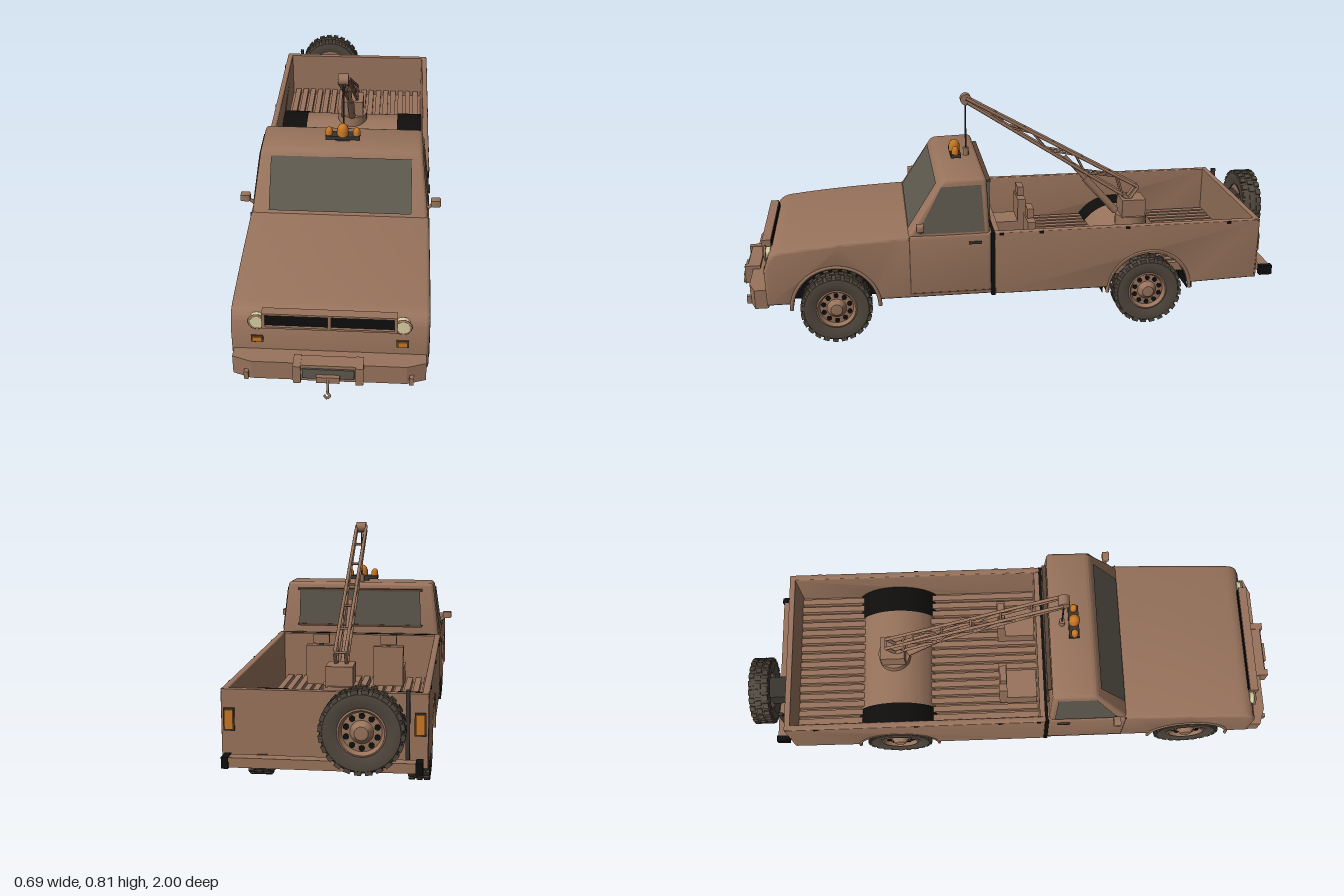
import * as THREE from 'three';
import { toCreasedNormals } from 'three/addons/utils/BufferGeometryUtils.js';

const mat = (name, color, side = THREE.FrontSide) => {
  const m = new THREE.MeshStandardMaterial({ color, side });
  m.name = name;
  return m;
};

export function createModel() {
  const truck = new THREE.Group();
  truck.name = 'towTruck';
  const paint = mat('brown paint', 0x98735c);
  const glass = mat('smoked glass', 0x5f594e, THREE.DoubleSide);
  const rubber = mat('tyre rubber', 0x51483e);
  const black = mat('black', 0x0f0e0d, THREE.DoubleSide);
  const amber = mat('amber lens', 0xc87722);
  const lens = mat('headlight lens', 0xd6d0a2);
  const dark = mat('dark metal', 0x3b3530);
  const seam = mat('panel seam', 0x5a4335);

  const add = (name, geo, m, parent = truck) => {
    const mesh = new THREE.Mesh(geo, m);
    mesh.name = name;
    parent.add(mesh);
    return mesh;
  };
  // Box given by its ranges on each axis
  const box = (name, m, x0, x1, y0, y1, z0, z1, parent) =>
    add(name, new THREE.BoxGeometry(x1 - x0, y1 - y0, z1 - z0)
      .translate((x0 + x1) / 2, (y0 + y1) / 2, (z0 + z1) / 2), m, parent);
  const rod = (name, m, a, b, r, parent) => {
    const p = new THREE.Vector3(...a), q = new THREE.Vector3(...b);
    return add(name, new THREE.TubeGeometry(new THREE.LineCurve3(p, q), 1, r, 8), m, parent);
  };
  // Side profile in (z, y), extruded across x and centred on cx
  const across = (shape, width, bevel, cx = 0) => {
    const g = new THREE.ExtrudeGeometry(shape, {
      depth: width - 2 * bevel, bevelEnabled: bevel > 0, bevelSize: bevel, bevelThickness: bevel,
      bevelOffset: -bevel, bevelSegments: 3, curveSegments: 20,
    });
    g.rotateY(-Math.PI / 2).translate(width / 2 - bevel + cx, 0, 0);
    return toCreasedNormals(g, 0.6);
  };
  const plate = (name, m, pts) => {
    const g = new THREE.BufferGeometry().setFromPoints(pts.map(p => new THREE.Vector3(...p)));
    g.setIndex([0, 1, 2, 0, 2, 3]);
    g.computeVertexNormals();
    return add(name, g, m);
  };
  const sides = [1, -1];
  const FRONT = 0.65, REAR = -0.465, HUB = 0.125, ARCH = 0.15;
  const cut = Math.asin(0.03 / ARCH);

  // Front body with the bonnet and wheel arch
  const nose = new THREE.Shape();
  nose.moveTo(0.105, 0.155);
  nose.lineTo(0.105, 0.387);
  nose.lineTo(0.39, 0.385);
  nose.quadraticCurveTo(0.65, 0.376, 0.83, 0.354);
  nose.quadraticCurveTo(0.872, 0.346, 0.878, 0.31);
  nose.lineTo(0.888, 0.285);
  nose.lineTo(0.885, 0.155);
  nose.absarc(FRONT, HUB, ARCH, cut, Math.PI - cut, false);
  nose.closePath();
  add('frontBody', across(nose, 0.615, 0.012), paint);

  // Cab, tapering towards the roof
  const cabShape = new THREE.Shape();
  cabShape.moveTo(0.108, 0.36);
  cabShape.lineTo(0.395, 0.38);
  cabShape.lineTo(0.28, 0.562);
  cabShape.quadraticCurveTo(0.272, 0.574, 0.255, 0.576);
  cabShape.lineTo(0.135, 0.58);
  cabShape.quadraticCurveTo(0.118, 0.578, 0.117, 0.562);
  cabShape.closePath();
  const half = y => 0.302 * (1 - 0.075 * (y - 0.385) / 0.19);
  const cabGeo = across(cabShape, 0.604, 0.014);
  const cp = cabGeo.attributes.position;
  for (let i = 0; i < cp.count; i++) cp.setX(i, cp.getX(i) * half(cp.getY(i)) / 0.302);
  add('cab', toCreasedNormals(cabGeo, 0.6), paint);

  // Windows
  plate('windscreen', glass, [[-0.245, 0.396, 0.391], [0.245, 0.396, 0.391], [0.243, 0.555, 0.29], [-0.243, 0.555, 0.29]]);
  plate('rearWindow', glass, [[0.235, 0.42, 0.102], [-0.235, 0.42, 0.102], [-0.23, 0.55, 0.102], [0.23, 0.55, 0.102]]);
  for (const y of [0.412, 0.55]) box('rearWindowFrame', seam, -0.24, 0.24, y, y + 0.008, 0.1, 0.115);

  // Load bed floor with the hump over the rear wheels
  const floor = new THREE.Shape();
  const top = Math.asin((0.2 - HUB) / 0.162);
  floor.moveTo(-0.85, 0.16);
  floor.lineTo(-0.85, 0.2);
  floor.absarc(REAR, HUB, 0.162, Math.PI - top, top, true);
  floor.lineTo(0.1, 0.2);
  floor.lineTo(0.1, 0.155);
  floor.absarc(REAR, HUB, ARCH, cut, Math.PI - cut, false);
  floor.closePath();
  add('bedFloor', across(floor, 0.59, 0), paint);
  for (let i = -8; i <= 8; i++)
    box('floorRib', paint, i * 0.033 - 0.011, i * 0.033 + 0.011, 0.19, 0.222, -0.845, 0.085);
  box('bedFrontWall', paint, -0.3, 0.3, 0.16, 0.385, 0.075, 0.096);
  box('tailgate', paint, -0.308, 0.308, 0.163, 0.387, -0.865, -0.845);
  box('cabGap', black, -0.309, 0.309, 0.15, 0.386, 0.093, 0.107);

  const wall = new THREE.Shape();
  wall.moveTo(0.094, 0.155);
  wall.lineTo(0.094, 0.387);
  wall.lineTo(-0.858, 0.387);
  wall.lineTo(-0.865, 0.37);
  wall.lineTo(-0.86, 0.163);
  wall.absarc(REAR, HUB, ARCH, Math.PI - cut, cut, true);
  wall.closePath();

  // Wheel with tread blocks, outer face towards +x
  const makeWheel = name => {
    const w = new THREE.Group();
    w.name = name;
    const prof = [[0.068, -0.03], [0.092, -0.038], [0.112, -0.036], [0.12, -0.025], [0.12, 0.025],
      [0.112, 0.036], [0.092, 0.038], [0.068, 0.03], [0.068, -0.03]].map(p => new THREE.Vector2(...p));
    add('tyre', toCreasedNormals(new THREE.LatheGeometry(prof, 40).rotateZ(-Math.PI / 2), 0.8), rubber, w);
    for (let i = 0; i < 72; i++) {
      const row = i % 3 - 1;
      const lug = add('treadBlock', new THREE.BoxGeometry(0.019, 0.012, 0.02), rubber, w);
      const a = i / 72 * Math.PI * 2;
      lug.position.set(row * 0.025, Math.cos(a) * 0.1185, Math.sin(a) * 0.1185);
      lug.rotation.x = a;
    }
    const rim = [[0.07, -0.028], [0.073, 0.03], [0.066, 0.033], [0.058, 0.018], [0.034, 0.02], [0.026, 0.03], [0.02, 0.038], [0, 0.039]];
    add('rim', toCreasedNormals(new THREE.LatheGeometry(rim.map(p => new THREE.Vector2(...p)), 32).rotateZ(-Math.PI / 2), 0.5), paint, w);
    add('rimBack', new THREE.CircleGeometry(0.07, 24).rotateY(-Math.PI / 2).translate(-0.025, 0, 0), paint, w);
    for (let i = 0; i < 10; i++) {
      const a = i / 10 * Math.PI * 2;
      add('rimHole', new THREE.CylinderGeometry(0.009, 0.009, 0.004, 10).rotateZ(Math.PI / 2)
        .translate(0.0195, Math.cos(a) * 0.047, Math.sin(a) * 0.047), black, w);
    }
    return w;
  };

  for (const s of sides) {
    const span = (name, m, a, b, ...r) => box(name, m, Math.min(a * s, b * s), Math.max(a * s, b * s), ...r);
    add('bedSide', across(wall, 0.022, 0.004, s * 0.299), paint);
    plate('sideWindow', glass, [[0.362, 0.392], [0.275, 0.553], [0.137, 0.556], [0.128, 0.392]]
      .map(([z, y]) => [s * (half(y) + 0.003), y, z]));

    // Wheels, arch liners and arch lips
    for (const z of [FRONT, REAR]) {
      const w = makeWheel(z > 0 ? 'frontWheel' : 'rearWheel');
      w.position.set(s * 0.266, HUB, z);
      if (s < 0) w.rotation.y = Math.PI;
      truck.add(w);
      for (const r of z > 0 ? [0.149] : [0.149, 0.167])
        add('archLiner', new THREE.CylinderGeometry(r, r, 0.105, 28, 1, true, 0, Math.PI)
          .rotateZ(Math.PI / 2).translate(s * 0.24, HUB, z), black);
      add('archBack', new THREE.CircleGeometry(0.149, 28, 0, Math.PI).rotateY(Math.PI / 2)
        .translate(s * 0.188, HUB, z), black);
      add('archLip', new THREE.TorusGeometry(0.152, 0.007, 6, 28, Math.PI).rotateY(Math.PI / 2)
        .translate(s * 0.306, HUB + 0.01, z), paint);
    }

    // Door seams, handle and mirror
    span('doorSeam', seam, 0.3, 0.3085, 0.17, 0.383, 0.388, 0.392);
    span('sillSeam', seam, 0.3, 0.3085, 0.17, 0.174, 0.11, 0.392);
    span('doorHandle', dark, 0.3, 0.314, 0.35, 0.358, 0.14, 0.185);
    rod('mirrorArm', paint, [s * 0.29, 0.39, 0.35], [s * 0.325, 0.42, 0.352], 0.006);
    add('mirror', across(new THREE.Shape([[0.34, 0.412], [0.366, 0.412], [0.366, 0.436], [0.34, 0.436]]
      .map(p => new THREE.Vector2(...p))), 0.034, 0.005, s * 0.329), paint);
    for (const z of [0.07, -0.07, -0.38, -0.75]) span('stakePocket', black, 0.295, 0.312, 0.376, 0.385, z - 0.008, z + 0.008);

    // Lamps
    add('headlight', new THREE.CylinderGeometry(0.022, 0.024, 0.022, 24).rotateX(Math.PI / 2)
      .translate(s * 0.225, 0.32, 0.877), lens);
    add('headlightRing', new THREE.TorusGeometry(0.024, 0.004, 8, 24).translate(s * 0.225, 0.32, 0.885), paint);
    span('indicatorFrame', seam, 0.206, 0.244, 0.244, 0.27, 0.88, 0.891);
    span('indicator', amber, 0.21, 0.24, 0.248, 0.266, 0.88, 0.895);
    span('tailLight', amber, 0.272, 0.298, 0.265, 0.325, -0.873, -0.86);
    span('tailLightFrame', dark, 0.268, 0.302, 0.26, 0.33, -0.869, -0.86);
    span('bumperGuard', paint, 0.248, 0.262, 0.15, 0.178, 0.94, 0.956);
    span('rearBumperEnd', black, 0.275, 0.296, 0.162, 0.197, -0.932, -0.885);
    span('rearBumperBracket', dark, 0.17, 0.2, 0.168, 0.19, -0.9, -0.855);

    // Seat in the load bed
    span('seatCushion', paint, 0.07, 0.18, 0.21, 0.28, -0.045, 0.07);
    span('seatBack', paint, 0.07, 0.18, 0.22, 0.368, -0.072, -0.042);
    span('headrest', paint, 0.095, 0.155, 0.375, 0.41, -0.068, -0.044);
    span('headrestPost', dark, 0.118, 0.132, 0.36, 0.38, -0.06, -0.052);
  }

  // Grille
  box('grilleMesh', black, -0.2, 0.2, 0.31, 0.357, 0.862, 0.888);
  for (const y of [0.304, 0.355]) box('grilleBar', paint, -0.207, 0.207, y, y + 0.007, 0.866, 0.896);
  for (const x of [-0.203, 0, 0.203]) box('grillePost', paint, x - 0.005, x + 0.005, 0.304, 0.362, 0.866, 0.897);
  box('sump', paint, -0.09, 0.09, 0.17, 0.3, 0.58, 0.7);

  // Front bumper with winch and hook
  const bumper = new THREE.Shape([[-0.3, 0.88], [0.3, 0.88], [0.3, 0.925], [0.24, 0.946], [-0.24, 0.946], [-0.3, 0.925]]
    .map(([x, z]) => new THREE.Vector2(x, -z)));
  add('frontBumper', new THREE.ExtrudeGeometry(bumper, { depth: 0.068, bevelEnabled: false })
    .rotateX(-Math.PI / 2).translate(0, 0.146, 0), paint);
  box('winchCase', paint, -0.108, 0.108, 0.163, 0.224, 0.92, 0.965);
  box('winchDrum', glass, -0.08, 0.08, 0.176, 0.213, 0.96, 0.97);
  for (const x of [-0.096, 0.096]) box('winchPost', paint, x - 0.012, x + 0.012, 0.16, 0.226, 0.92, 0.975);
  box('cableGuide', paint, -0.036, 0.036, 0.171, 0.193, 0.96, 0.983);
  const hook = [[0, 0.185, 0.98], [0, 0.15, 0.99], [0, 0.138, 0.99], [0.007, 0.128, 0.992], [-0.003, 0.119, 0.993], [-0.012, 0.132, 0.992]];
  add('frontHook', new THREE.TubeGeometry(new THREE.CatmullRomCurve3(hook.map(p => new THREE.Vector3(...p))), 24, 0.004, 8), paint);

  // Rear bumper and spare wheel
  box('rearBumper', paint, -0.285, 0.285, 0.165, 0.195, -0.927, -0.89);
  box('sparePost', dark, -0.255, -0.243, 0.19, 0.4, -0.885, -0.868);
  const spare = makeWheel('spareWheel');
  spare.position.set(-0.125, 0.3, -0.96);
  spare.rotation.y = Math.PI / 2;
  truck.add(spare);
  box('spareMount', dark, -0.165, -0.085, 0.26, 0.34, -0.935, -0.86);

  // Beacon bar on the roof
  box('beaconBar', dark, -0.06, 0.06, 0.585, 0.598, 0.185, 0.222);
  box('beaconFoot', dark, -0.025, 0.025, 0.57, 0.588, 0.19, 0.216);
  for (const [x, r, h] of [[0, 0.02, 0.042], [0.048, 0.013, 0.028], [-0.048, 0.013, 0.028]])
    add('beacon', new THREE.LatheGeometry([[r, 0], [r, h * 0.55], [r * 0.75, h * 0.82], [r * 0.4, h * 0.97], [0, h]]
      .map(p => new THREE.Vector2(...p)), 16).translate(x, 0.597, 0.205), amber);

  // Crane: turret, lattice boom, ram and cable
  const crane = new THREE.Group();
  crane.name = 'crane';
  truck.add(crane);
  add('turret', new THREE.CylinderGeometry(0.06, 0.06, 0.05, 24).translate(0, 0.295, -0.47), paint, crane);
  box('turretHead', paint, -0.045, 0.045, 0.315, 0.385, -0.515, -0.425, crane);
  const upper = t => [-0.49 + 0.65 * t, 0.428 + 0.366 * t];
  const lower = t => [-0.43 + 0.585 * t, 0.4 + 0.378 * t];
  for (const s of sides) {
    const at = ([z, y]) => [s * 0.018, y, z];
    rod('upperChord', paint, at(upper(0)), at(upper(1)), 0.006, crane);
    rod('lowerChord', paint, at(lower(0)), at(lower(1)), 0.006, crane);
    rod('boomEnd', paint, at(upper(0)), at([-0.45, 0.37]), 0.006, crane);
    rod('boomFoot', paint, at(lower(0)), at([-0.47, 0.37]), 0.007, crane);
    for (let i = 0; i < 7; i++)
      rod('boomBrace', paint, at((i % 2 ? upper : lower)(i / 8)), at((i % 2 ? lower : upper)((i + 1) / 8)), 0.004, crane);
  }
  for (let i = 0; i < 6; i++) {
    const [z, y] = upper(i / 6);
    rod('boomCrossBar', paint, [-0.018, y, z], [0.018, y, z], 0.004, crane);
  }
  rod('ram', paint, [0, 0.33, -0.41], [0, 0.47, -0.285], 0.014, crane);
  rod('ramPiston', paint, [0, 0.46, -0.293], [0, 0.56, -0.205], 0.008, crane);
  add('boomPulley', new THREE.CylinderGeometry(0.02, 0.02, 0.036, 20).rotateZ(Math.PI / 2).translate(0, 0.789, 0.16), paint, crane);
  rod('cable', dark, [0, 0.785, 0.162], [0, 0.59, 0.162], 0.003, crane);
  add('hookBlock', new THREE.CylinderGeometry(0.011, 0.011, 0.03, 12).translate(0, 0.592, 0.162), paint, crane);

  return truck;
}
